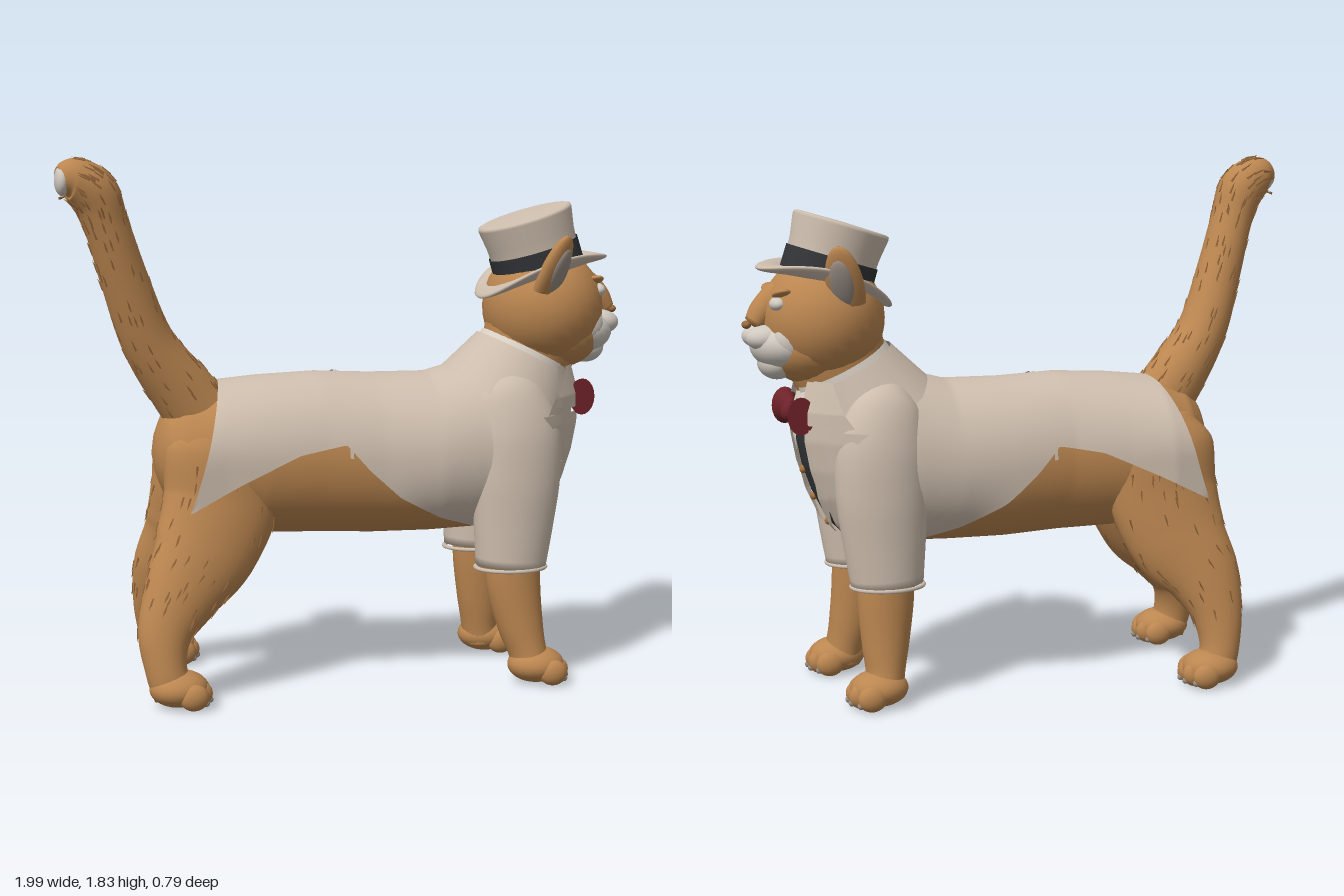
import * as THREE from 'three';
import { mergeVertices, mergeGeometries } from 'three/addons/utils/BufferGeometryUtils.js';

const V = (x, y, z) => new THREE.Vector3(x, y, z);
const mat = (name, color, side = THREE.FrontSide) =>
  Object.assign(new THREE.MeshStandardMaterial({ color, side }), { name });

// Linear lookup in rows of [key, value, value...]
function at(rows, x) {
  if (x <= rows[0][0]) return rows[0].slice(1);
  for (let i = 1; i < rows.length; i++) {
    const a = rows[i - 1], b = rows[i];
    if (x <= b[0]) return a.slice(1).map((v, k) => v + (b[k + 1] - v) * (x - a[0]) / (b[0] - a[0]));
  }
  return rows[rows.length - 1].slice(1);
}

// Smooth surface from a function of u and v
function grid(fn, nu, nv) {
  const pos = [], idx = [];
  for (let i = 0; i <= nu; i++) for (let j = 0; j <= nv; j++) pos.push(...fn(i / nu, j / nv).toArray());
  for (let i = 0; i < nu; i++) for (let j = 0; j < nv; j++) {
    const a = i * (nv + 1) + j, c = a + nv + 1;
    idx.push(a, a + 1, c, a + 1, c + 1, c);
  }
  let g = new THREE.BufferGeometry();
  g.setAttribute('position', new THREE.Float32BufferAttribute(pos, 3));
  g.setIndex(idx);
  g = mergeVertices(g, 1e-5);
  g.computeVertexNormals();
  return g;
}

// Sampler for a limb through rows of [x, y, z, radius in plane, radius across]
function limb(rows) {
  const path = new THREE.CatmullRomCurve3(rows.map(r => V(r[0], r[1], r[2])));
  const radii = new THREE.CatmullRomCurve3(rows.map(r => V(r[3], r[4], 0)));
  return (u, v) => {
    const k = Math.min(1, Math.max(0, (u - 0.02) / 0.96));
    const c = path.getPoint(k), r = radii.getPoint(k), t = path.getTangent(k);
    const n = t.clone().cross(V(0, 0, 1)).normalize(), b = t.cross(n);
    const s = u === 0 || u === 1 ? 0 : 1, a = v * Math.PI * 2;
    return c.addScaledVector(n, s * r.x * Math.cos(a)).addScaledVector(b, s * r.y * Math.sin(a));
  };
}

// Torso sections: x, top, bottom, centre z, half width
const TORSO = [[-0.67, 0.82, 0.82, 0.04, 0], [-0.66, 0.88, 0.76, 0.04, 0.06], [-0.63, 0.96, 0.68, 0.04, 0.12],
  [-0.57, 1.01, 0.6, 0.03, 0.18], [-0.45, 1.045, 0.56, 0.02, 0.22], [-0.3, 1.06, 0.53, 0.03, 0.23],
  [-0.1, 1.07, 0.525, 0.04, 0.225], [0.1, 1.06, 0.515, 0.04, 0.235], [0.3, 1.06, 0.515, 0.05, 0.25],
  [0.45, 1.1, 0.52, 0.05, 0.25], [0.54, 1.13, 0.525, 0.055, 0.25], [0.62, 1.12, 0.55, 0.055, 0.225],
  [0.7, 1.05, 0.66, 0.055, 0.13], [0.76, 0.97, 0.79, 0.055, 0.05], [0.765, 0.88, 0.88, 0.055, 0]];
const CHEST = [[0.52, 0.63], [0.6, 0.71], [0.7, 0.765], [0.8, 0.8], [0.9, 0.82], [1.0, 0.82], [1.1, 0.79]];
const VEST_EDGE = [[0.53, 0.065], [0.75, 0.115], [0.95, 0.12], [1.08, 0.1]];
const HEM = [[-0.58, 0.65], [-0.4, 0.74], [-0.2, 0.83], [-0.04, 0.86], [0.04, 0.77], [0.15, 0.67],
  [0.3, 0.59], [0.45, 0.54], [0.62, 0.53]];

export function createModel() {
  const model = new THREE.Group();
  const fur = mat('orange fur', 0xbb8650), tuftFur = mat('darker fur tufts', 0x99693c);
  const white = mat('white fur', 0xcfc8bf), cloth = mat('beige cloth', 0xcdbdad, THREE.DoubleSide);
  const black = mat('black cloth', 0x323437, THREE.DoubleSide), red = mat('dark red silk', 0x6e2229);
  const shirtMat = mat('cream shirt', 0xdcd3c7, THREE.DoubleSide), grey = mat('grey claws and ears', 0x9a8f86);
  const brass = mat('brass buttons', 0xa8713c);

  const add = (name, geo, m, parent = model) => {
    const mesh = new THREE.Mesh(geo, m);
    mesh.name = name;
    parent.add(mesh);
    return mesh;
  };
  const ball = (name, m, [x, y, z], [a, b, c], parent = model) =>
    add(name, new THREE.SphereGeometry(1, 28, 20).scale(a, b, c).translate(x, y, z), m, parent);

  // Small pointed tufts lying along a limb
  let seed = 7;
  const rnd = () => (seed = (seed * 16807) % 2147483647) / 2147483647;
  const tufts = (name, p, count, u0, u1) => {
    const list = [];
    for (let i = 0; i < count; i++) {
      const u = u0 + (u1 - u0) * rnd(), v = rnd(), a = p(u, v), b = p(u + 0.02, v);
      const mid = p(u, v + 0.5).add(a).multiplyScalar(0.5);
      const dir = b.sub(a).normalize().addScaledVector(a.clone().sub(mid).normalize(), 0.2).normalize();
      const g = new THREE.ConeGeometry(0.006, 0.045, 4);
      g.applyQuaternion(new THREE.Quaternion().setFromUnitVectors(V(0, 1, 0), dir));
      list.push(g.translate(a.x, a.y, a.z));
    }
    add(name, mergeGeometries(list), tuftFur);
  };

  // Torso, neck and tail
  add('torso', grid((u, v) => {
    const x = -0.67 + 1.435 * u, [top, bot, zc, hw] = at(TORSO, x), a = v * Math.PI * 2;
    return V(x, (top + bot) / 2 + (top - bot) / 2 * Math.cos(a), zc + hw * Math.sin(a));
  }, 100, 40), fur);
  add('neck', grid(limb([[0.58, 0.98, 0.06, 0.15, 0.14], [0.66, 1.12, 0.065, 0.165, 0.155],
    [0.7, 1.25, 0.07, 0.18, 0.17]]), 16, 32), fur);
  const tail = limb([[-0.46, 0.9, 0.05, 0.12, 0.1], [-0.56, 1.03, 0.06, 0.11, 0.1], [-0.68, 1.2, 0.09, 0.09, 0.09],
    [-0.765, 1.42, 0.13, 0.08, 0.08], [-0.825, 1.6, 0.16, 0.075, 0.076], [-0.87, 1.71, 0.175, 0.082, 0.08],
    [-0.94, 1.755, 0.19, 0.07, 0.068], [-0.985, 1.752, 0.2, 0.042, 0.042]]);
  add('tail', grid(tail, 60, 28), fur);
  tufts('tailTufts', tail, 200, 0.12, 0.85);
  ball('tailTip', white, [-0.972, 1.75, 0.196], [0.026, 0.05, 0.05]);

  // Paws with four toes and claws
  const paw = (name, x, z) => {
    const g = new THREE.Group();
    g.name = name;
    model.add(g);
    ball('pad', fur, [x - 0.025, 0.062, z], [0.1, 0.062, 0.092], g);
    for (let i = 0; i < 4; i++) {
      const d = i - 1.5, tx = x + 0.045 - Math.abs(d) * 0.02, tz = z + d * 0.047;
      ball('toe', fur, [tx, 0.045, tz], [0.05, 0.045, 0.032], g);
      ball('claw', grey, [tx + 0.04, 0.024, tz], [0.012, 0.012, 0.01], g);
    }
  };

  // Legs and sleeves, mirrored with a small stagger between the sides
  for (const s of [1, -1]) {
    const side = s > 0 ? 'left' : 'right', f = z => s > 0 ? z : 0.105 - z, h = z => s > 0 ? z : 0.02 - z;
    const fx = s > 0 ? 0 : -0.04, hx = s > 0 ? 0 : 0.055;
    add(side + ' foreleg', grid(limb([[0.56, 0.5, f(0.245), 0.1, 0.085],
      [0.565, 0.35, f(0.25), 0.096, 0.082], [0.59 + fx / 2, 0.2, f(0.26), 0.08, 0.077],
      [0.615 + fx, 0.1, f(0.272), 0.066, 0.075], [0.625 + fx, 0.04, f(0.28), 0.07, 0.08]]), 24, 28), fur);
    paw(side + ' front paw', 0.665 + fx, f(0.285));
    add(side + ' sleeve', grid(limb([[0.53, 1.08, f(0.17), 0.06, 0.05], [0.55, 1.0, f(0.215), 0.13, 0.09],
      [0.572, 0.86, f(0.24), 0.16, 0.106], [0.572, 0.72, f(0.246), 0.158, 0.107],
      [0.565, 0.56, f(0.246), 0.142, 0.103], [0.556, 0.4, f(0.244), 0.123, 0.1]]), 30, 36), cloth);
    const cuff = add(side + ' cuff', new THREE.TorusGeometry(0.1, 0.007, 8, 40).scale(1.23, 1, 1).rotateX(Math.PI / 2), cloth);
    cuff.position.set(0.556, 0.406, f(0.244));
    const hind = limb([[-0.43, 0.93, h(0.11), 0.12, 0.07], [-0.44, 0.82, h(0.14), 0.2, 0.1],
      [-0.45, 0.66, h(0.15), 0.2, 0.105], [-0.515 + hx / 3, 0.5, h(0.185), 0.18, 0.1],
      [-0.6 + hx / 2, 0.37, h(0.23), 0.135, 0.087], [-0.665 + hx, 0.24, h(0.27), 0.092, 0.072],
      [-0.665 + hx, 0.12, h(0.295), 0.07, 0.067], [-0.64 + hx, 0.04, h(0.3), 0.07, 0.07]]);
    add(side + ' hind leg', grid(hind, 44, 32), fur);
    tufts(side + ' hind leg tufts', hind, 90, 0.2, 0.72);
    paw(side + ' hind paw', -0.6 + hx, h(0.305));
  }

  // Tailcoat: wraps the torso, with a curved hem and a scooped back edge
  add('tailcoat', grid((u, v) => {
    const k = v * 2 - 1, back = -0.44 - 0.14 * Math.abs(k) ** 1.5, x = back + (0.625 - back) * u;
    const [top, bot, zc, hw] = at(TORSO, x), cy = (top + bot) / 2, ry = (top - bot) / 2 + 0.018;
    const c = Math.max(-1, (at(HEM, x)[0] - cy) / ry), th = Math.acos(c) * k;
    const hang = 1 - THREE.MathUtils.smoothstep(x, -0.05, 0.3);
    const sn = Math.sin(th), straight = Math.abs(th) > Math.PI / 2 ? Math.sign(th) : sn;
    const w = hw + at([[-0.58, 0.1], [-0.45, 0.055], [-0.3, 0.03], [-0.1, 0.02]], x)[0];
    return V(x, cy + ry * Math.cos(th), zc + w * (sn + (straight - sn) * hang));
  }, 80, 56), cloth);
  // Waist seam
  add('waistSeam', grid((u, v) => {
    const th = (v * 2 - 1) * 1.5, x = -0.03 + u * 0.012, [top, bot, zc, hw] = at(TORSO, x);
    return V(x, (top + bot) / 2 + ((top - bot) / 2 + 0.022) * Math.cos(th), zc + (hw + 0.024) * Math.sin(th));
  }, 1, 40), cloth);

  // Chest patches between two widths over a height range
  const chest = (name, m, s, y0, y1, inner, outer, lift) => add(name, grid((u, v) => {
    const y = y0 + (y1 - y0) * u, a = inner(y), d = a + (outer(y) - a) * v;
    return V(at(CHEST, y)[0] + lift - 2.6 * d * d, y, 0.055 + s * d);
  }, 40, 14), m);
  const edge = y => at(VEST_EDGE, y)[0];
  chest('vest', black, 1, 0.52, 1.06, y => -edge(y) - 0.03, y => edge(y) + 0.03, 0);
  chest('shirtFront', shirtMat, 1, 0.85, 1.08, y => -(y - 0.85) * 0.45, y => (y - 0.85) * 0.45, 0.008);
  for (const s of [1, -1]) {
    chest('coatFront', cloth, s, 0.53, 1.1, edge, y => at([[0.53, 0.2], [0.8, 0.27], [0.95, 0.25], [1.1, 0.17]], y)[0], 0.014);
    chest('lapel', cloth, s, 0.58, 0.94, edge,
      y => at([[0.58, 0.085], [0.8, 0.19], [0.94, 0.29]], y)[0], 0.034);
    chest('collarLapel', cloth, s, 0.955, 1.1, edge,
      y => at([[0.955, 0.2], [0.97, 0.255], [1.02, 0.23], [1.1, 0.16]], y)[0], 0.036);
  }
  for (const y of [0.6, 0.69, 0.785]) ball('button', brass, [at(CHEST, y)[0] + 0.004, y, 0.058], [0.012, 0.014, 0.014]);

  // Collars: tilted open bands around the neck
  const collar = (name, m, gap, r0, r1, lo, hi) => add(name, grid((u, v) => {
    const a = gap + v * (Math.PI * 2 - gap * 2), r = r0 + (r1 - r0) * u, h = lo + (hi - lo) * u;
    const c = V(0.65, 1.115, 0.06).addScaledVector(V(0.45, 0.89, 0), h);
    return c.addScaledVector(V(0.89, -0.45, 0), r * 1.04 * Math.cos(a)).add(V(0, 0, r * Math.sin(a)));
  }, 10, 48), m);
  collar('coatCollar', cloth, 0.55, 0.245, 0.178, -0.17, 0.015);
  collar('shirtCollar', shirtMat, 0.2, 0.18, 0.165, -0.06, 0.035);

  // Bow tie
  ball('bowKnot', red, [0.845, 0.985, 0.057], [0.028, 0.034, 0.028]);
  for (const s of [1, -1]) {
    add('bowWing', new THREE.CylinderGeometry(0.064, 0.03, 0.12, 20).scale(0.72, 1, 1)
      .rotateX(s * Math.PI / 2).translate(0.83, 0.988, 0.057 + s * 0.077), red);
  }

  // Head
  const head = new THREE.Group();
  head.name = 'head';
  model.add(head);
  ball('skull', fur, [0.72, 1.3, 0.07], [0.21, 0.215, 0.23], head);
  ball('jaw', fur, [0.77, 1.21, 0.07], [0.155, 0.13, 0.18], head);
  add('noseBridge', grid(limb([[0.8, 1.42, 0.07, 0.045, 0.06], [0.875, 1.375, 0.07, 0.052, 0.055],
    [0.925, 1.325, 0.07, 0.048, 0.05], [0.96, 1.28, 0.07, 0.032, 0.04]]), 16, 24), fur, head);
  ball('nose', tuftFur, [0.98, 1.285, 0.07], [0.016, 0.014, 0.024], head);
  ball('muzzle', white, [0.845, 1.215, 0.07], [0.125, 0.09, 0.15], head);
  ball('chin', white, [0.88, 1.155, 0.07], [0.065, 0.058, 0.09], head);
  for (const s of [1, -1]) {
    const z = d => 0.07 + s * d;
    ball('whiskerPad', white, [0.915, 1.242, z(0.038)], [0.075, 0.045, 0.062], head);
    ball('cheekFur', white, [0.84, 1.235, z(0.1)], [0.07, 0.07, 0.055], head);
    ball('eye', white, [0.89, 1.36, z(0.09)], [0.028, 0.024, 0.044], head);
    const brow = ball('brow', fur, [0, 0, 0], [0.032, 0.014, 0.06], head);
    brow.position.set(0.876, 1.393, z(0.092));
    brow.rotation.x = -s * 0.25;
    // Ear: flattened cone with a paler hollow turned outward
    const ear = new THREE.Group();
    ear.name = 'ear';
    const up = V(0.05, 0.2, s * 0.09).normalize(), side = up.clone().cross(V(0.55, 0, s * 0.8)).normalize();
    ear.quaternion.setFromRotationMatrix(new THREE.Matrix4().makeBasis(side, up, side.clone().cross(up)));
    ear.position.set(0.695, 1.46, z(0.218));
    head.add(ear);
    add('earShell', new THREE.SphereGeometry(1, 24, 20, 0, Math.PI * 2, 0, Math.PI * 0.6).scale(0.068, 0.16, 0.034)
      .translate(0, -0.05, 0), fur, ear);
    add('earPoint', new THREE.ConeGeometry(0.062, 0.16, 24).scale(1, 1, 0.45).translate(0, 0.035, 0), fur, ear);
    add('earInner', new THREE.SphereGeometry(1, 24, 18).scale(0.044, 0.095, 0.02).translate(0, -0.025, 0.02), grey, ear);
  }

  // Top hat
  const hat = new THREE.Group();
  hat.name = 'topHat';
  hat.position.set(0.707, 1.425, 0.075);
  hat.rotation.z = 0.3;
  model.add(hat);
  add('crown', new THREE.LatheGeometry([[0.155, -0.04], [0.152, 0.05], [0.157, 0.12], [0.168, 0.19], [0.166, 0.2],
    [0.155, 0.204], [0, 0.207]].map(p => new THREE.Vector2(...p)), 48), cloth, hat);
  add('hatBand', new THREE.CylinderGeometry(0.16, 0.161, 0.09, 48, 1, true).translate(0, 0.04, 0), black, hat);
  // Brim curls up at the sides and dips at front and back
  add('brim', grid((u, v) => {
    const a = u * Math.PI * 2, b = v * Math.PI * 2, r = 0.19 + 0.05 * Math.cos(b);
    const curl = (0.045 * Math.sin(a) ** 2 - 0.022 * Math.cos(a) ** 2) * Math.max(0, (r - 0.15) / 0.09);
    return V(r * Math.cos(a), 0.014 * Math.sin(b) + curl, r * Math.sin(a));
  }, 56, 20), cloth, hat);

  return model;
}
